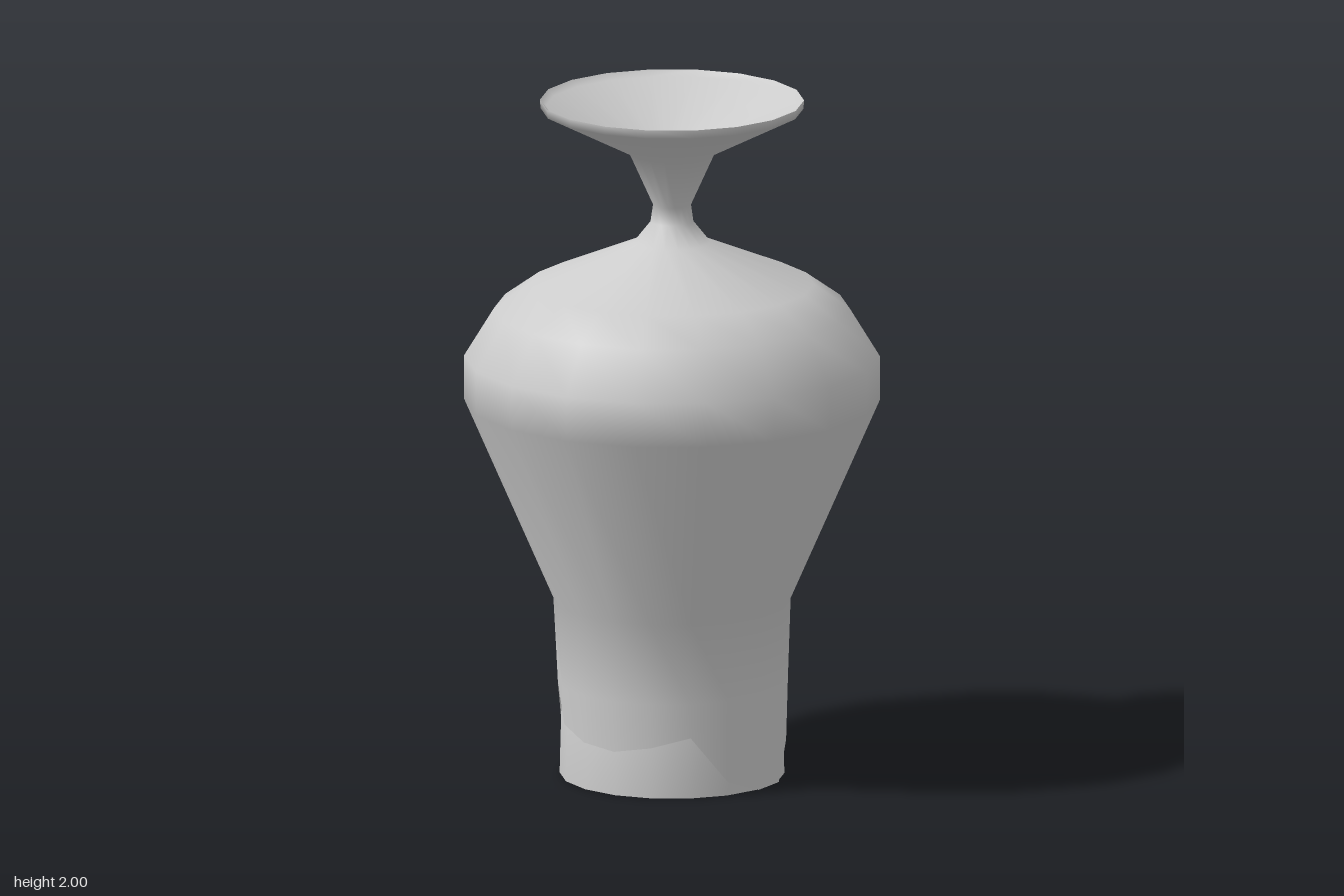
import * as THREE from 'three';

const SEGMENTS = 18;

function lathe(name, points, material) {
  const profile = points.map(([r, y]) => new THREE.Vector2(r, y));
  const mesh = new THREE.Mesh(new THREE.LatheGeometry(profile, SEGMENTS), material);
  mesh.name = name;
  return mesh;
}

export function createModel() {
  const group = new THREE.Group();
  group.name = 'vase';
  const material = new THREE.MeshStandardMaterial({ color: 0xcccccc, side: THREE.DoubleSide });

  // Outer wall: foot, tapered belly, shoulder, narrow neck and flared mouth
  const outer = [
    [0.33, 0], [0.335, 0.28], [0.343, 0.52], [0.601, 1.11], [0.601, 1.24], [0.515, 1.38],
    [0.41, 1.455], [0.11, 1.58], [0.062, 1.64], [0.055, 1.69], [0.125, 1.845],
    [0.38, 1.975], [0.382, 2],
  ];
  const body = lathe('body', outer, material);

  // Ragged lower edge of the outer wall, one height per segment from the front
  const edge = [0.13, 0.15, 0.18, 0.04, 0, 0, 0.1, 0.26, 0, 0.18, 0.25, 0, 0, 0, 0, 0.27, 0.17, 0.14];
  const position = body.geometry.attributes.position;
  for (let i = 0; i <= SEGMENTS; i++) {
    const height = edge[i % SEGMENTS];
    position.setY(i * outer.length, height);
    position.setY(i * outer.length + 1, Math.max(0.28, height + 0.1));
  }
  group.add(body);

  // Hollow foot lining, closed by a low dome and showing below the ragged edge
  group.add(lathe('footLining', [[0, 0.5], [0.2, 0.47], [0.315, 0.38], [0.325, 0]], material));

  // Shallow dish inside the mouth
  group.add(lathe('mouthDish', [[0.382, 2], [0.365, 1.982], [0.12, 1.87], [0, 1.85]].reverse(), material));

  return group;
}
